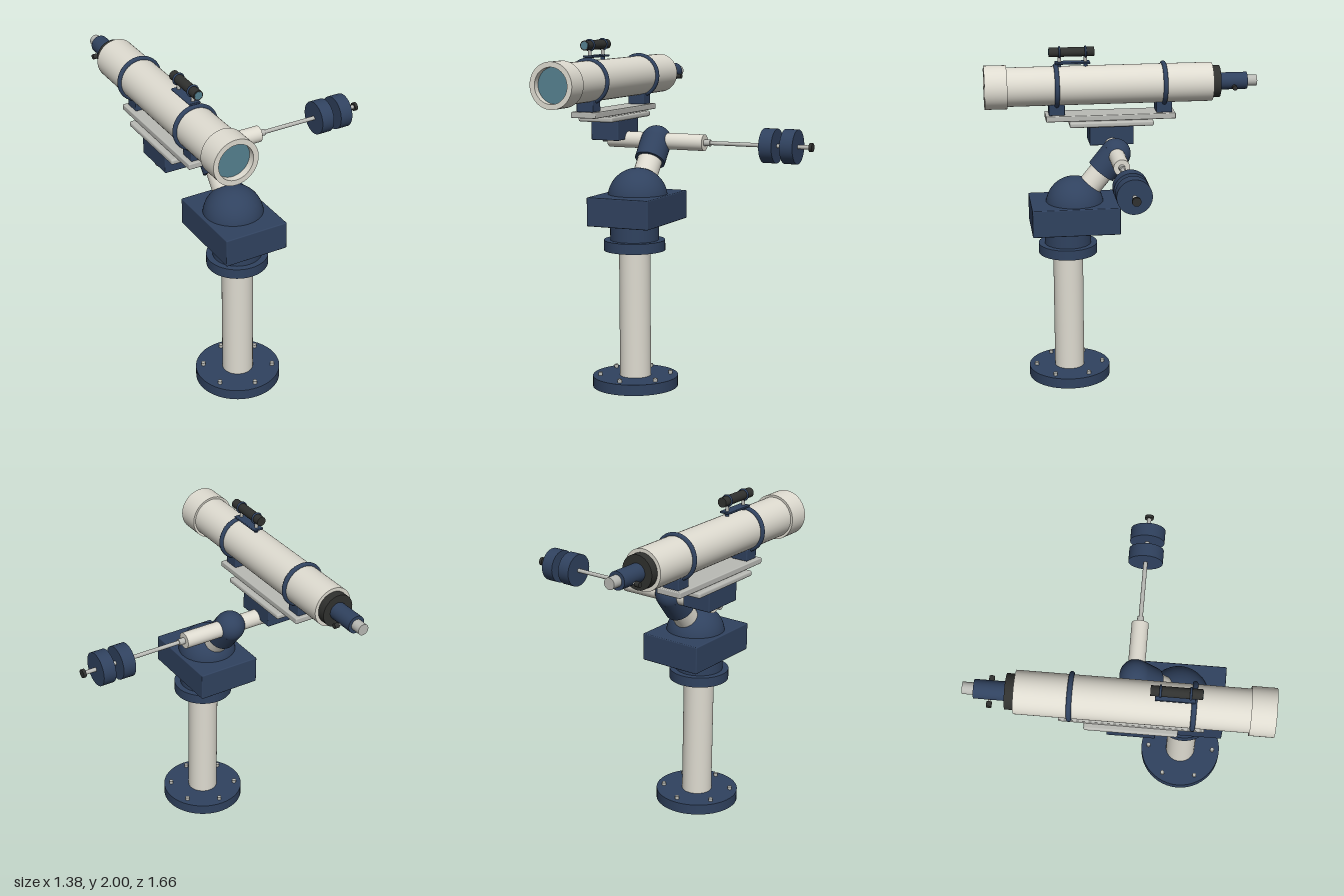
import * as THREE from 'three';
import { RoundedBoxGeometry } from 'three/addons/geometries/RoundedBoxGeometry.js';

const mat = (color, side = THREE.FrontSide) => new THREE.MeshStandardMaterial({ color, side });
const blue = mat(0x30425f), cream = mat(0xdedbd0), dark = mat(0x30312f);
const metal = mat(0xb9bab5), glass = mat(0x55808f);
const creamShell = mat(0xdedbd0, THREE.DoubleSide);

const PIER = { x: -0.286, z: 0.36 };
const HEAD = new THREE.Vector3(-0.286, 1.403, 0.068); // crossing of the two mount axes
const TUBE = { x: -0.557, y: 1.762 };

export function createModel() {
  const model = new THREE.Group();
  model.name = 'telescopeOnPier';

  const add = (name, geometry, material, x = 0, y = 0, z = 0, parent = model) => {
    const mesh = new THREE.Mesh(geometry, material);
    mesh.name = name;
    mesh.position.set(x, y, z);
    parent.add(mesh);
    return mesh;
  };
  // Cylinder between two points
  const rod = (name, a, b, r, material, parent = model) => {
    const d = b.clone().sub(a);
    const mesh = add(name, new THREE.CylinderGeometry(r, r, d.length(), 48), material, 0, 0, 0, parent);
    mesh.position.copy(a).addScaledVector(d, 0.5);
    mesh.quaternion.setFromUnitVectors(new THREE.Vector3(0, 1, 0), d.normalize());
    return mesh;
  };
  const v = (x, y, z) => new THREE.Vector3(x, y, z);
  const rodY = (name, y0, y1, r, m, x = PIER.x, z = PIER.z) => rod(name, v(x, y0, z), v(x, y1, z), r, m);
  const rodX = (name, x0, x1, r, m, y = HEAD.y, z = HEAD.z) => rod(name, v(x0, y, z), v(x1, y, z), r, m);
  const rodZ = (name, z0, z1, r, m, y = TUBE.y, x = TUBE.x) => rod(name, v(x, y, z0), v(x, y, z1), r, m);
  const box = (name, x0, x1, y0, y1, z0, z1, m, bevel = 0.006) =>
    add(name, new RoundedBoxGeometry(x1 - x0, y1 - y0, z1 - z0, 3, bevel), m,
      (x0 + x1) / 2, (y0 + y1) / 2, (z0 + z1) / 2);

  // Pier with bolted base
  rodY('baseFlange', 0, 0.063, 0.247, blue);
  for (let i = 0; i < 6; i++) {
    const a = (i * Math.PI) / 3;
    rodY('baseBolt', 0.06, 0.082, 0.012, metal,
      PIER.x + 0.203 * Math.sin(a), PIER.z + 0.203 * Math.cos(a));
  }
  rodY('pier', 0.06, 0.81, 0.09, cream);
  rodY('pierFlange', 0.8, 0.86, 0.176, blue);
  rodY('pierNeck', 0.86, 0.96, 0.14, blue);

  // Mount housing and dome
  box('mountHousing', -0.478, -0.094, 0.955, 1.12, 0.06, 0.582, blue);
  add('mountDome', new THREE.SphereGeometry(0.173, 48, 24, 0, Math.PI * 2, 0, Math.PI / 2), blue,
    HEAD.x, 1.096, 0.317);

  // Tilted polar axis
  const polar = v(0, Math.sin(0.89), -Math.cos(0.89));
  const along = (d) => HEAD.clone().addScaledVector(polar, d);
  rod('polarShaft', along(-0.36), along(-0.1), 0.072, cream);
  rod('polarCollar', along(-0.138), along(0), 0.09, blue);
  add('axisHead', new THREE.SphereGeometry(0.09, 48, 32), blue, HEAD.x, HEAD.y, HEAD.z);

  // Crosswise axis with counterweights
  rodX('crossAxisHousing', -0.587, 0.025, 0.048, cream);
  rodX('crossAxisEnd', -0.632, -0.58, 0.02, metal);
  rodX('shaftCollar', 0.02, 0.063, 0.019, metal);
  rodX('counterweightShaft', 0.06, 0.68, 0.012, metal);
  rodX('counterweight', 0.398, 0.476, 0.099, blue);
  rodX('counterweight', 0.525, 0.602, 0.099, blue);
  rodX('shaftStop', 0.672, 0.69, 0.025, dark);

  // Saddle and mounting plates
  box('saddle', -0.645, -0.468, 1.405, 1.527, -0.064, 0.203, blue);
  box('saddlePlate', -0.666, -0.446, 1.522, 1.555, -0.186, 0.325, metal, 0.012);
  box('dovetailBar', -0.636, -0.478, 1.555, 1.59, -0.325, 0.465, metal, 0.006);

  // Tube rings on feet
  for (const z of [0.397, -0.257]) {
    box('ringFoot', -0.61, -0.504, 1.588, 1.655, z - 0.048, z + 0.048, blue);
    add('tubeRing', new THREE.TorusGeometry(0.121, 0.014, 16, 64), blue, TUBE.x, TUBE.y, z);
  }

  // Optical tube, dew shield and lens
  rodZ('mainTube', -0.552, 0.7, 0.118, cream);
  const shield = [[0.1, 0.7], [0.132, 0.695], [0.132, 0.695], [0.132, 0.83], [0.132, 0.83],
    [0.102, 0.83], [0.102, 0.83], [0.102, 0.7]].map(([r, z]) => new THREE.Vector2(r, z));
  add('dewShield', new THREE.LatheGeometry(shield, 64), creamShell, TUBE.x, TUBE.y, 0).rotation.x = Math.PI / 2;
  rodZ('frontLens', 0.7, 0.79, 0.102, glass);

  // Focuser and eyepiece
  rodZ('rearCell', -0.6, -0.55, 0.097, dark);
  rodZ('focuser', -0.77, -0.598, 0.052, blue);
  rodZ('eyepiece', -0.832, -0.765, 0.033, metal);
  rodX('focusAxle', TUBE.x - 0.07, TUBE.x + 0.07, 0.007, metal, 1.735, -0.685);
  for (const s of [-1, 1])
    rodX('focusKnob', TUBE.x + s * 0.058, TUBE.x + s * 0.087, 0.015, dark, 1.735, -0.685);

  // Finder scope on its bracket
  const fy = 1.967;
  rodZ('finderTube', 0.165, 0.437, 0.028, dark, fy);
  rodZ('finderLens', 0.43, 0.439, 0.022, glass, fy);
  box('finderPlate', TUBE.x - 0.032, TUBE.x + 0.032, 1.896, 1.908, 0.19, 0.402, blue, 0.004);
  for (const z of [0.217, 0.375]) {
    add('finderRing', new THREE.TorusGeometry(0.03, 0.006, 12, 40), blue, TUBE.x, fy, z);
    rodY('finderPost', 1.9, 1.942, 0.01, metal, TUBE.x, z);
    rodY('finderFoot', 1.87, 1.9, 0.012, blue, TUBE.x, z);
  }

  return model;
}
